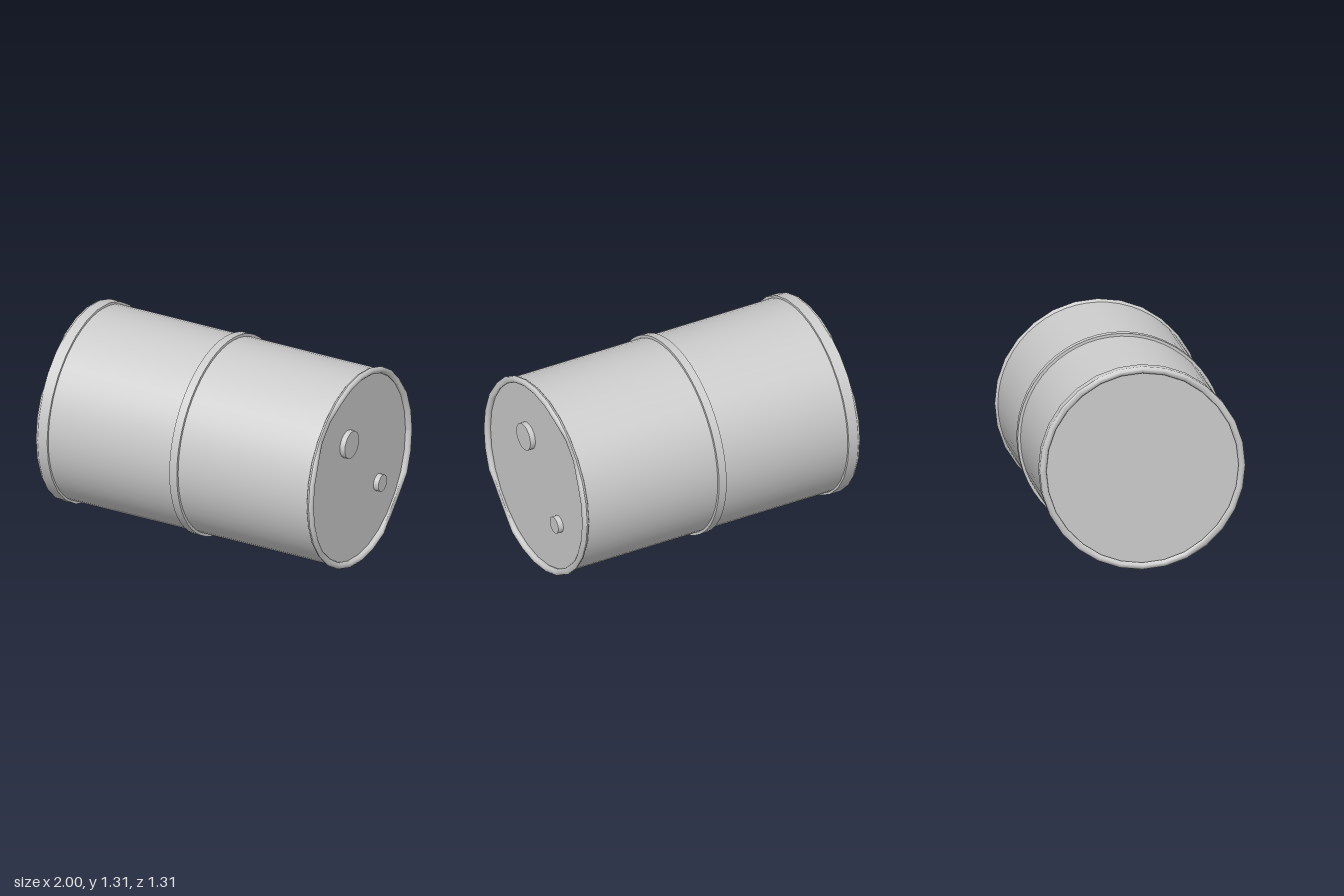
import * as THREE from 'three';

const R = 0.655; // outer radius, also the height of the barrel axis
const BODY_R = 0.637;
const TUBE = 0.022;

export function createModel() {
  const barrel = new THREE.Group();
  barrel.name = 'barrel';
  const steel = new THREE.MeshStandardMaterial({ color: 0xcccccc });
  const thinSteel = new THREE.MeshStandardMaterial({ color: 0xcccccc, side: THREE.DoubleSide });

  const add = (name, geometry, material = steel) => {
    const mesh = new THREE.Mesh(geometry, material);
    mesh.name = name;
    barrel.add(mesh);
    return mesh;
  };

  // Cylinder lying along x, from x0 to x1
  const drum = (radius, x0, x1, sides, open = false) => {
    const g = new THREE.CylinderGeometry(radius, radius, x1 - x0, sides, 1, open);
    return g.rotateZ(-Math.PI / 2).translate((x0 + x1) / 2, 0, 0);
  };

  // Shell with its two flat end lids
  add('shell', drum(BODY_R, -0.965, 0.962, 56)).position.y = R;

  // Raised hoop at the middle
  add('middleHoop', drum(R, -0.027, 0.027, 56)).position.y = R;

  // Wide collar at the left-hand end
  add('endCollar', drum(R - 0.001, -0.985, -0.91, 28, true), thinSteel).position.y = R;
  const step = new THREE.RingGeometry(BODY_R - 0.005, R - 0.001, 28).rotateY(Math.PI / 2);
  add('collarEdge', step.translate(-0.91, 0, 0), thinSteel).position.y = R;

  // Rolled rims, dented at the four diagonals
  for (const side of [-1, 1]) {
    const rim = new THREE.TorusGeometry(R - TUBE, TUBE, 10, 28).rotateY(Math.PI / 2);
    const p = rim.attributes.position;
    for (let i = 0; i < p.count; i++) {
      const angle = Math.atan2(p.getY(i), p.getZ(i));
      const off = (Math.abs(angle) % (Math.PI / 2)) - Math.PI / 4;
      const dent = Math.exp(-((off / 0.13) ** 2));
      const outward = Math.max(0, p.getX(i) * side);
      const shrink = 1 - 0.006 * dent;
      p.setXYZ(i, p.getX(i) - side * dent * outward * 1.6, p.getY(i) * shrink, p.getZ(i) * shrink);
    }
    rim.computeVertexNormals();
    add(side > 0 ? 'rightEndRim' : 'leftEndRim', rim).position.set(side * (1 - TUBE), R, 0);
  }

  // Filler caps on the +x lid
  for (const [name, radius, y, z] of [['largeCap', 0.091, 0.877, 0.132], ['smallCap', 0.056, 0.438, -0.263]]) {
    add(name, drum(radius, 0.95, 0.998, 18)).position.set(0, y, z);
  }

  // Small studs along the underside
  for (const x of [-0.83, -0.53, -0.24, 0.24, 0.53, 0.83]) {
    add('stud', new THREE.CylinderGeometry(0.012, 0.012, 0.02, 10)).position.set(x, 0.021, 0);
  }

  return barrel;
}
